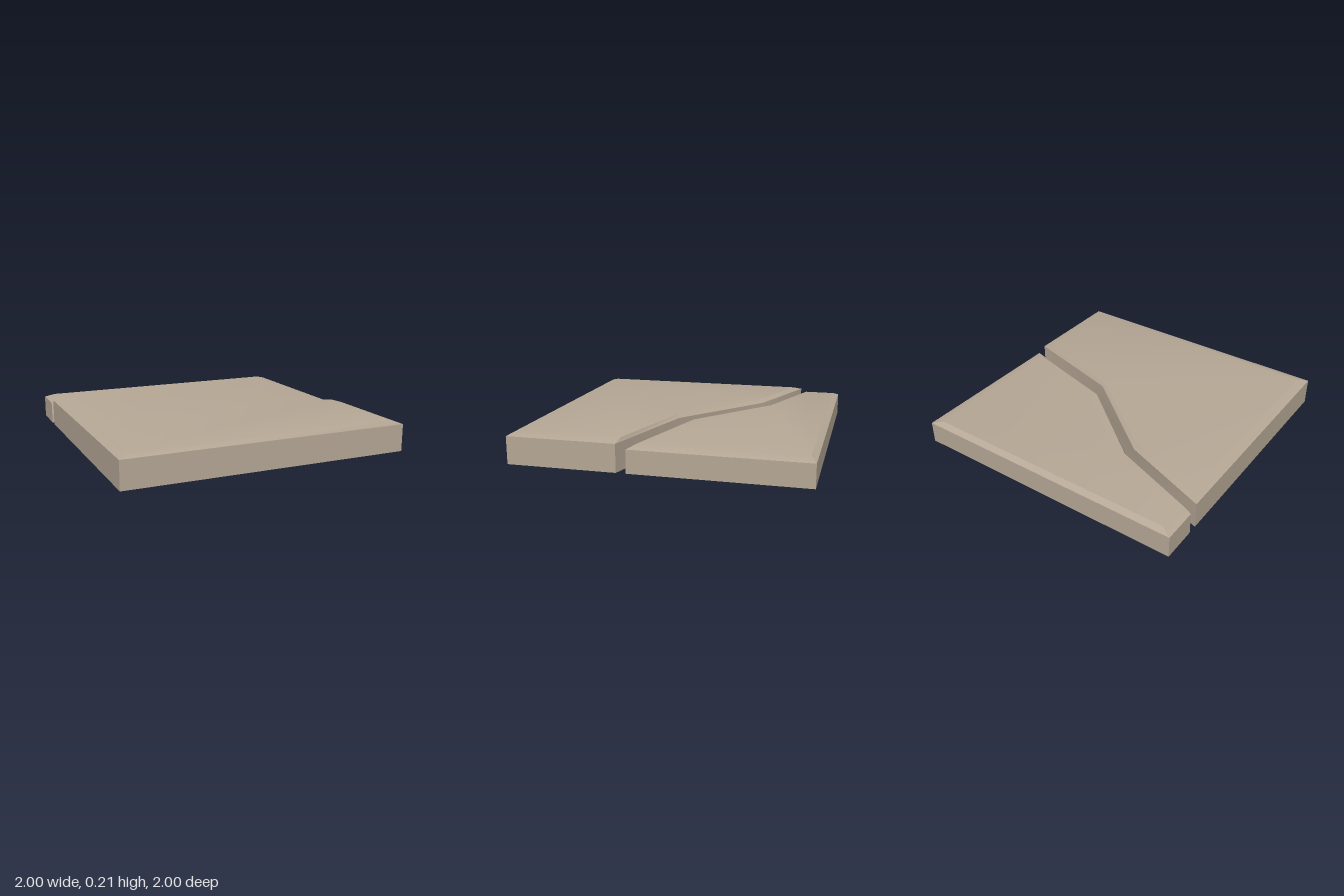
import * as THREE from 'three';
import { toCreasedNormals } from 'three/addons/utils/BufferGeometryUtils.js';

// Open-bottomed slab: walls up from the outline, a chamfer, then a flat top.
// Both outlines are [x, z] lists, running left to right along the front.
function slabGeometry(outer, inner, shoulder, top) {
  const positions = [];
  const ring = (points, y) => points.map(([x, z]) => [x, y, z]);
  const rings = [ring(outer, 0), ring(outer, shoulder), ring(inner, top)];
  const triangle = (a, b, c) => positions.push(...a, ...b, ...c);

  for (let r = 0; r < 2; r++) {
    for (let i = 0; i < outer.length; i++) {
      const j = (i + 1) % outer.length;
      const [low, high] = [rings[r], rings[r + 1]];
      triangle(low[i], low[j], high[j]);
      triangle(low[i], high[j], high[i]);
    }
  }

  const contour = inner.map(([x, z]) => new THREE.Vector2(x, -z));
  for (const [a, b, c] of THREE.ShapeUtils.triangulateShape(contour, [])) {
    triangle(rings[2][a], rings[2][b], rings[2][c]);
  }

  const geometry = new THREE.BufferGeometry();
  geometry.setAttribute('position', new THREE.Float32BufferAttribute(positions, 3));
  // Gentle chamfers blend into the top, steeper edges stay sharp
  return toCreasedNormals(geometry, THREE.MathUtils.degToRad(25));
}

export function createModel() {
  const group = new THREE.Group();
  group.name = 'crackedFloorSlab';

  const stone = new THREE.MeshStandardMaterial({ color: 0xb5a795, side: THREE.DoubleSide });
  stone.name = 'warm stone';

  // Taller front piece
  const front = new THREE.Mesh(slabGeometry(
    [[-1, 1], [1, 1], [1, 0.25], [0.25, 0.04], [-0.38, -0.46], [-1, -0.69]],
    [[-0.93, 0.93], [0.92, 0.93], [0.92, 0.24], [0.23, 0.055], [-0.355, -0.415], [-0.93, -0.63]],
    0.19, 0.213), stone);
  front.name = 'frontSlab';

  // Lower back piece across the crack
  const back = new THREE.Mesh(slabGeometry(
    [[-1, -0.753], [-0.367, -0.52], [0.247, -0.028], [1, 0.183], [1, -1], [-1, -1]],
    [[-0.93, -0.738], [-0.352, -0.527], [0.23, -0.063], [0.915, 0.127], [0.915, -0.96], [-0.93, -0.96]],
    0.158, 0.181), stone);
  back.name = 'backSlab';

  group.add(front, back);
  return group;
}
